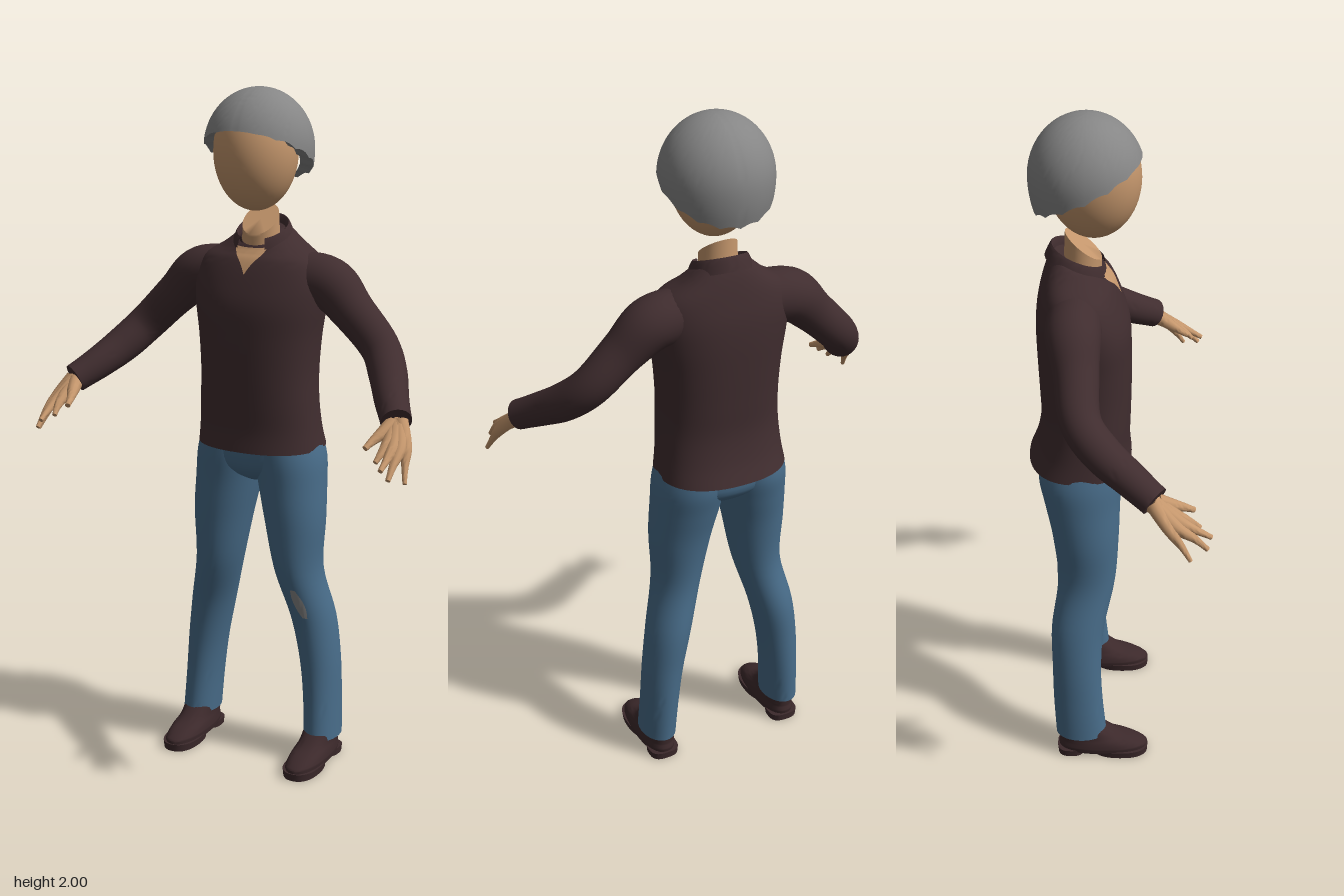
import * as THREE from 'three';
import { mergeVertices, toCreasedNormals } from 'three/addons/utils/BufferGeometryUtils.js';

const mat = (name, color, side = THREE.FrontSide) => {
  const m = new THREE.MeshStandardMaterial({ color, side });
  m.name = name;
  return m;
};

// Skin a grid of points fn(u, v), u around and v along, optionally closing each end.
function skin(fn, nu, nv, { u0 = 0, u1 = Math.PI * 2, v0 = 0, v1 = 1, caps = true } = {}) {
  const rings = [];
  for (let j = 0; j <= nv; j++) {
    const ring = [];
    for (let i = 0; i <= nu; i++) {
      ring.push(fn(u0 + (u1 - u0) * i / nu, v0 + (v1 - v0) * j / nv));
    }
    rings.push(ring);
  }
  if (caps) {
    const collapse = (ring) => {
      const c = new THREE.Vector3();
      for (let i = 0; i < nu; i++) c.addScaledVector(ring[i], 1 / nu);
      return ring.map(() => c);
    };
    rings.unshift(collapse(rings[0]));
    rings.push(collapse(rings[rings.length - 1]));
  }
  const pos = rings.flat().flatMap((p) => [p.x, p.y, p.z]);
  const idx = [];
  const w = nu + 1;
  for (let j = 0; j < rings.length - 1; j++) {
    for (let i = 0; i < nu; i++) {
      const a = j * w + i, b = a + 1, c = a + w, d = c + 1;
      idx.push(a, b, d, a, d, c);
    }
  }
  const g = new THREE.BufferGeometry();
  g.setAttribute('position', new THREE.Float32BufferAttribute(pos, 3));
  g.setIndex(idx);
  return toCreasedNormals(mergeVertices(g, 1e-5), 1.0);
}

// Smooth interpolation through rows of numbers.
function sample(rows, v) {
  const f = Math.min(Math.max(v, 0), 1) * (rows.length - 1);
  const i = Math.min(Math.floor(f), rows.length - 2), t = f - i;
  const at = (k) => rows[Math.min(Math.max(k, 0), rows.length - 1)];
  return rows[0].map((_, k) => {
    const p0 = at(i - 1)[k], p1 = at(i)[k], p2 = at(i + 1)[k], p3 = at(i + 2)[k];
    const m1 = (p2 - p0) / 2, m2 = (p3 - p1) / 2, t2 = t * t, t3 = t2 * t;
    return (2 * t3 - 3 * t2 + 1) * p1 + (t3 - 2 * t2 + t) * m1 + (3 * t2 - 2 * t3) * p2 + (t3 - t2) * m2;
  });
}

// Upright body from rows [y, centre x, half width, centre z, half depth, tilt]; angle 0 is the front.
const body = (rows, power = 1, grow = 0, s = 1) => (a, v) => {
  const [y, xc, rx, zc, rz, tilt] = sample(rows, v);
  const bend = (n) => Math.sign(n) * Math.abs(n) ** power;
  const dz = (rz + grow) * bend(Math.cos(a));
  return new THREE.Vector3(s * xc + (rx + grow) * bend(Math.sin(a)), y + tilt * dz, zc + dz);
};

// Tapered limb through points [x, y, z, radius].
function limb(pts, s, nu, nv) {
  const curve = new THREE.CatmullRomCurve3(pts.map((p) => new THREE.Vector3(p[0] * s, p[1], p[2])));
  const { normals, binormals } = curve.computeFrenetFrames(nv);
  return skin((a, v) => {
    const k = Math.round(v * nv), r = sample(pts, v)[3];
    return curve.getPoint(v)
      .addScaledVector(normals[k], r * Math.cos(a))
      .addScaledVector(binormals[k], r * Math.sin(a));
  }, nu, nv);
}

const TORSO = [
  [0.97, 0, 0.19, -0.107, 0.148, 0], [1.03, 0, 0.183, -0.098, 0.134, 0],
  [1.11, 0, 0.178, -0.09, 0.128, 0], [1.2, 0, 0.176, -0.09, 0.13, 0],
  [1.3, 0, 0.183, -0.092, 0.132, 0], [1.39, 0, 0.196, -0.095, 0.131, 0],
  [1.46, 0, 0.2, -0.103, 0.119, 0], [1.52, 0, 0.18, -0.11, 0.1, 0],
  [1.56, 0, 0.12, -0.11, 0.083, -0.2], [1.585, 0, 0.085, -0.105, 0.07, -0.4],
];
const LEG = [
  [0.075, 0.21, 0.053, -0.108, 0.077, 0], [0.2, 0.203, 0.055, -0.117, 0.074, 0],
  [0.32, 0.192, 0.06, -0.12, 0.073, 0], [0.45, 0.17, 0.066, -0.116, 0.078, 0],
  [0.6, 0.133, 0.071, -0.09, 0.084, 0], [0.75, 0.119, 0.09, -0.091, 0.096, 0],
  [0.86, 0.105, 0.1, -0.1, 0.109, 0], [0.94, 0.095, 0.104, -0.105, 0.12, 0],
  [1.01, 0.085, 0.095, -0.102, 0.118, 0],
];
const PELVIS = [
  [0.865, 0, 0.04, -0.1, 0.05, 0], [0.89, 0, 0.11, -0.1, 0.09, 0],
  [0.93, 0, 0.17, -0.104, 0.118, 0], [1.01, 0, 0.178, -0.1, 0.122, 0],
];
const NECK = [
  [1.5, 0, 0.065, -0.1, 0.06, 0], [1.57, 0, 0.056, -0.095, 0.052, -0.3],
  [1.63, 0, 0.053, -0.092, 0.05, -0.8],
];
const SHOE = [
  [0.015, 0.207, 0.05, -0.043, 0.13, 0], [0.03, 0.207, 0.053, -0.043, 0.135, 0],
  [0.05, 0.207, 0.05, -0.058, 0.115, 0], [0.068, 0.207, 0.046, -0.085, 0.09, 0],
  [0.1, 0.208, 0.046, -0.107, 0.066, 0],
];
const ARM = [
  [0.13, 1.47, -0.115, 0.075], [0.21, 1.455, -0.115, 0.076], [0.29, 1.385, -0.105, 0.062],
  [0.38, 1.295, -0.09, 0.056], [0.43, 1.235, -0.035, 0.054], [0.475, 1.185, 0.04, 0.048],
  [0.518, 1.145, 0.105, 0.043],
];
const FINGERS = {
  indexFinger: [[0.512, 1.14, 0.1, 0.022], [0.522, 1.1, 0.165, 0.018], [0.518, 1.08, 0.2, 0.011], [0.512, 1.06, 0.225, 0.007]],
  middleFinger: [[0.518, 1.14, 0.1, 0.024], [0.539, 1.09, 0.175, 0.018], [0.541, 1.07, 0.215, 0.011], [0.54, 1.048, 0.255, 0.007]],
  ringFinger: [[0.524, 1.14, 0.1, 0.024], [0.555, 1.085, 0.165, 0.018], [0.557, 1.055, 0.21, 0.011], [0.558, 1.022, 0.245, 0.007]],
  littleFinger: [[0.528, 1.145, 0.1, 0.022], [0.566, 1.085, 0.145, 0.016], [0.576, 1.045, 0.175, 0.01], [0.587, 1.005, 0.2, 0.006]],
  thumb: [[0.51, 1.14, 0.11, 0.022], [0.497, 1.12, 0.148, 0.018], [0.484, 1.105, 0.18, 0.012], [0.475, 1.09, 0.21, 0.008]],
};

// Cap of hair with a stepped edge that slopes down towards the back.
function hairPoint(a, v) {
  const edge = 1.888 - 0.5 * 0.157 * (1 - Math.cos(a)) + 0.008 * Math.abs(Math.sin(a * 8)) * Math.min(1, 2 * (1 - Math.cos(a)));
  const under = v < 0;
  const y = edge + (2 - edge) * Math.sin(Math.max(v, 0) * Math.PI / 2);
  const up = (y - 1.83) / 0.17;
  let r = up > 0 ? 0.157 * Math.sqrt(Math.max(0, 1 - up * up)) : 0.157 - 0.045 * up * up;
  if (under) r *= 0.75;
  return new THREE.Vector3(r * Math.sin(a), y + (under ? 0.008 : 0), -0.082 + r * Math.cos(a));
}

// Folded collar: outer edge, fold, inner edge; longer at the front tips.
function collarPoint(a, v) {
  const front = Math.max(0, Math.cos(a)) ** 3;
  const [r, h] = sample([[0.093, -0.012 - 0.03 * front], [0.08, 0.022], [0.071, 0.03], [0.062, -0.02]], v);
  const z = -0.105 + r * Math.cos(a);
  return new THREE.Vector3(r * Math.sin(a), 1.575 - 0.4 * (z + 0.105) + h, z);
}

export function createModel() {
  const hair = mat('grey', 0x868686);
  const skinTone = mat('skin', 0xc4966c);
  const shirt = mat('dark brown shirt', 0x402d2f, THREE.DoubleSide);
  const denim = mat('blue denim', 0x486c89);
  const leather = mat('dark leather', 0x3c292b);
  const model = new THREE.Group();
  model.name = 'figure';
  const add = (name, geometry, material, parent = model) => {
    const mesh = new THREE.Mesh(geometry, material);
    mesh.name = name;
    parent.add(mesh);
    return mesh;
  };

  // Head and neck
  const egg = new THREE.SphereGeometry(1, 40, 28);
  egg.scale(0.118, 0.168, 0.128).translate(0, 1.825, -0.063);
  add('head', egg, skinTone);
  add('hair', skin(hairPoint, 96, 22, { v0: -0.1, caps: false }), hair);
  add('neck', skin(body(NECK), 28, 8), skinTone);

  // Shirt with open neckline and collar
  add('shirtBody', skin(body(TORSO, 0.85), 56, 45), shirt);
  const chest = body(TORSO, 0.85, 0.004);
  add('neckline', skin((u, v) => chest(u * 0.55 * v ** 1.3, (6.35 + 2.65 * v) / 9), 12, 14,
    { u0: -1, u1: 1, caps: false }), skinTone);
  add('collar', skin(collarPoint, 48, 9, { u0: 0.55, u1: Math.PI * 2 - 0.55, caps: false }), shirt);

  // Trousers
  add('trouserSeat', skin(body(PELVIS, 0.9), 48, 14), denim);
  const knee = body(LEG, 1, 0.003);
  add('kneePatch', skin((u, v) => knee(0.16 + u * (0.1 + 0.13 * Math.sin(v * Math.PI)) - 0.12 * (v - 0.5), (3.1 + 0.6 * v) / 8),
    6, 8, { u0: -1, u1: 1, caps: false }), hair);

  for (const s of [1, -1]) {
    const side = s > 0 ? 'left' : 'right';

    // Leg and shoe
    add(side + 'TrouserLeg', skin(body(LEG, 1, 0, s), 36, 40), denim);
    add(side + 'Shoe', skin(body(SHOE, 0.85, 0, s), 36, 16), leather);
    const sole = [[0, 0.207, 0.051, 0.01, 0.085, 0], [0.022, 0.207, 0.054, 0.01, 0.086, 0]];
    const heel = [[0, 0.207, 0.044, -0.14, 0.04, 0], [0.022, 0.207, 0.046, -0.14, 0.042, 0]];
    add(side + 'Sole', skin(body(sole, 0.85, 0, s), 32, 1), leather);
    add(side + 'Heel', skin(body(heel, 0.7, 0, s), 32, 1), leather);

    // Sleeve and hand
    add(side + 'Sleeve', limb(ARM, s, 28, 36), shirt);
    const hand = new THREE.Group();
    hand.name = side + 'Hand';
    model.add(hand);
    for (const [name, pts] of Object.entries(FINGERS)) {
      add(name, limb(pts, s, 12, 14), skinTone, hand);
    }
  }
  return model;
}
